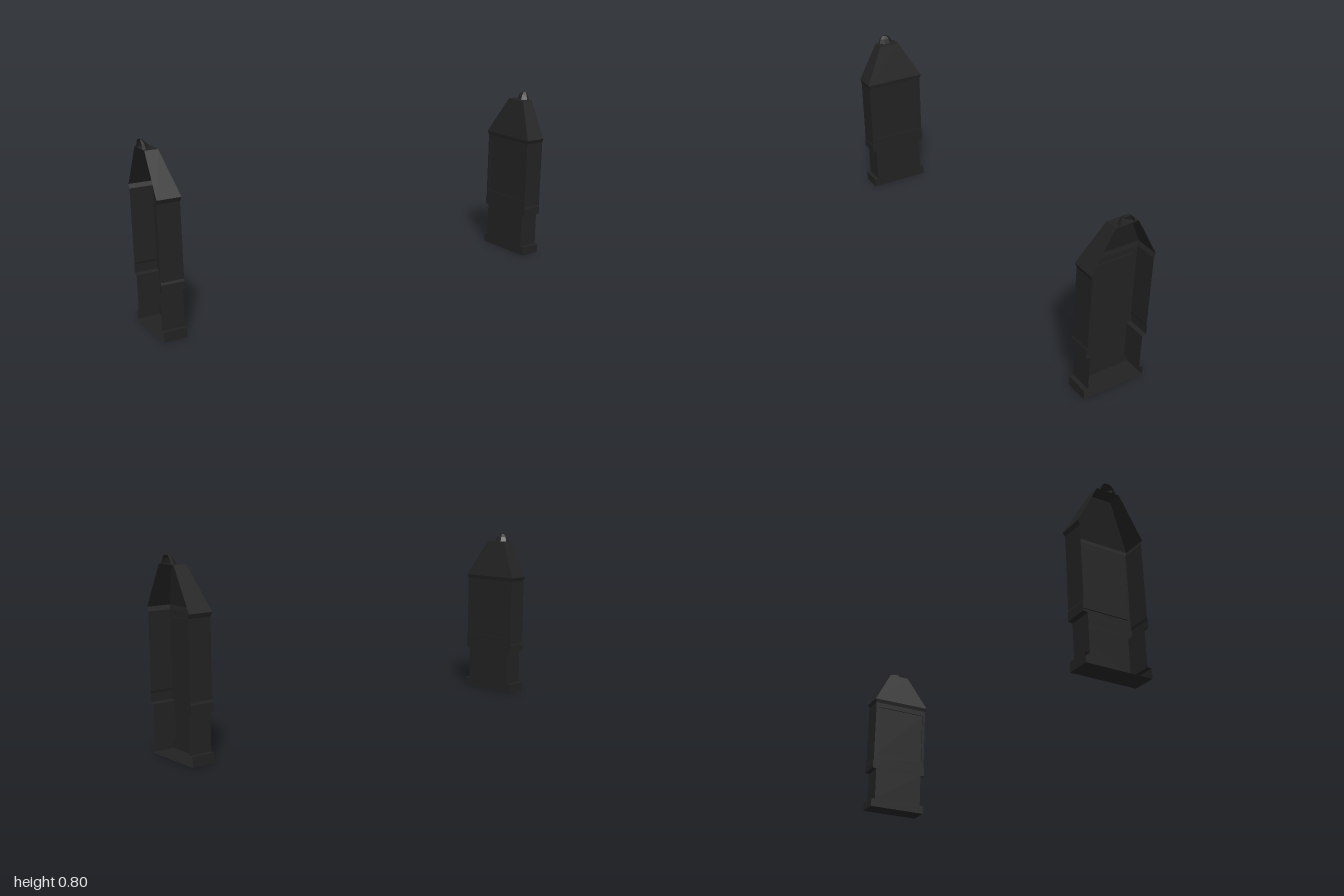
import * as THREE from 'three';

const D = 0.098; // depth of the shaft from the open outer plane

// Cross-sections run round the inner side; the outer plane stays open.
const box = (y, z, d = D) => [[0, y, z], [d, y, z], [d, y, -z], [0, y, -z]];
const octagon = (y, r) => {
  const h = r * 0.414;
  return [[0, r], [h, r], [r, h], [r, -h], [h, -r], [0, -r]].map(([d, z]) => [d, y, z]);
};

function geometryFrom(triangles) {
  const g = new THREE.BufferGeometry();
  g.setAttribute('position', new THREE.Float32BufferAttribute(triangles.flat(), 3));
  g.computeVertexNormals();
  return g;
}

// Joins successive sections with quads; can skip one side or close an end.
function loft(sections, { skip = -1, bottom = false, top = false, closed = false } = {}) {
  const out = [];
  const fan = (s, flip) => {
    for (let i = 1; i < s.length - 1; i++) out.push(...(flip ? [s[0], s[i + 1], s[i]] : [s[0], s[i], s[i + 1]]));
  };
  for (let k = 0; k < sections.length - 1; k++) {
    const a = sections[k], b = sections[k + 1], n = a.length;
    for (let i = 0; i < (closed ? n : n - 1); i++) {
      if (i === skip) continue;
      const j = (i + 1) % n;
      out.push(a[i], a[j], b[j], a[i], b[j], b[i]);
    }
  }
  if (bottom) fan(sections[0], true);
  if (top) fan(sections[sections.length - 1], false);
  return geometryFrom(out);
}

export function createModel() {
  const charcoal = new THREE.MeshStandardMaterial({ color: 0x222222, side: THREE.DoubleSide });
  charcoal.name = 'charcoal';

  // Upright rectangle on the inner face, seen along the depth axis
  const rect = (d, y0, y1, z) => [[d, y0, z], [d, y0, -z], [d, y1, -z], [d, y1, z]];

  const parts = {
    // foot, narrow neck and the wider collar above it
    base: loft([
      box(0, 0.144), box(0.042, 0.144), box(0.042, 0.125), box(0.2, 0.125),
      box(0.205, 0.144), box(0.24, 0.144), box(0.25, 0.141),
    ], { bottom: true }),
    // side walls of the shaft
    shaftSides: loft([box(0.25, 0.141), box(0.568, 0.141)], { skip: 1 }),
    // inner face with a shallow sunken panel
    recessedPanel: loft([
      rect(D, 0.25, 0.568, 0.141), rect(D, 0.278, 0.542, 0.127), rect(D - 0.005, 0.278, 0.542, 0.127),
    ], { closed: true, top: true }),
    // flared eave and sloping roof
    roof: loft([box(0.568, 0.141), box(0.586, 0.148, 0.102), box(0.762, 0.051, 0.056)], { top: true }),
    // half-octagon finial
    finial: loft([octagon(0.762, 0.034), octagon(0.784, 0.026), octagon(0.797, 0.013)], { top: true }),
  };

  const model = new THREE.Group();
  for (const side of [-1, 1]) {
    const pillar = new THREE.Group();
    pillar.name = side > 0 ? 'leftHalfPillar' : 'rightHalfPillar';
    for (const [name, geometry] of Object.entries(parts)) {
      const mesh = new THREE.Mesh(geometry, charcoal);
      mesh.name = name;
      pillar.add(mesh);
    }
    // open planes face outwards, panels face each other
    pillar.position.x = side;
    pillar.rotation.y = side > 0 ? Math.PI : 0;
    model.add(pillar);
  }
  return model;
}
